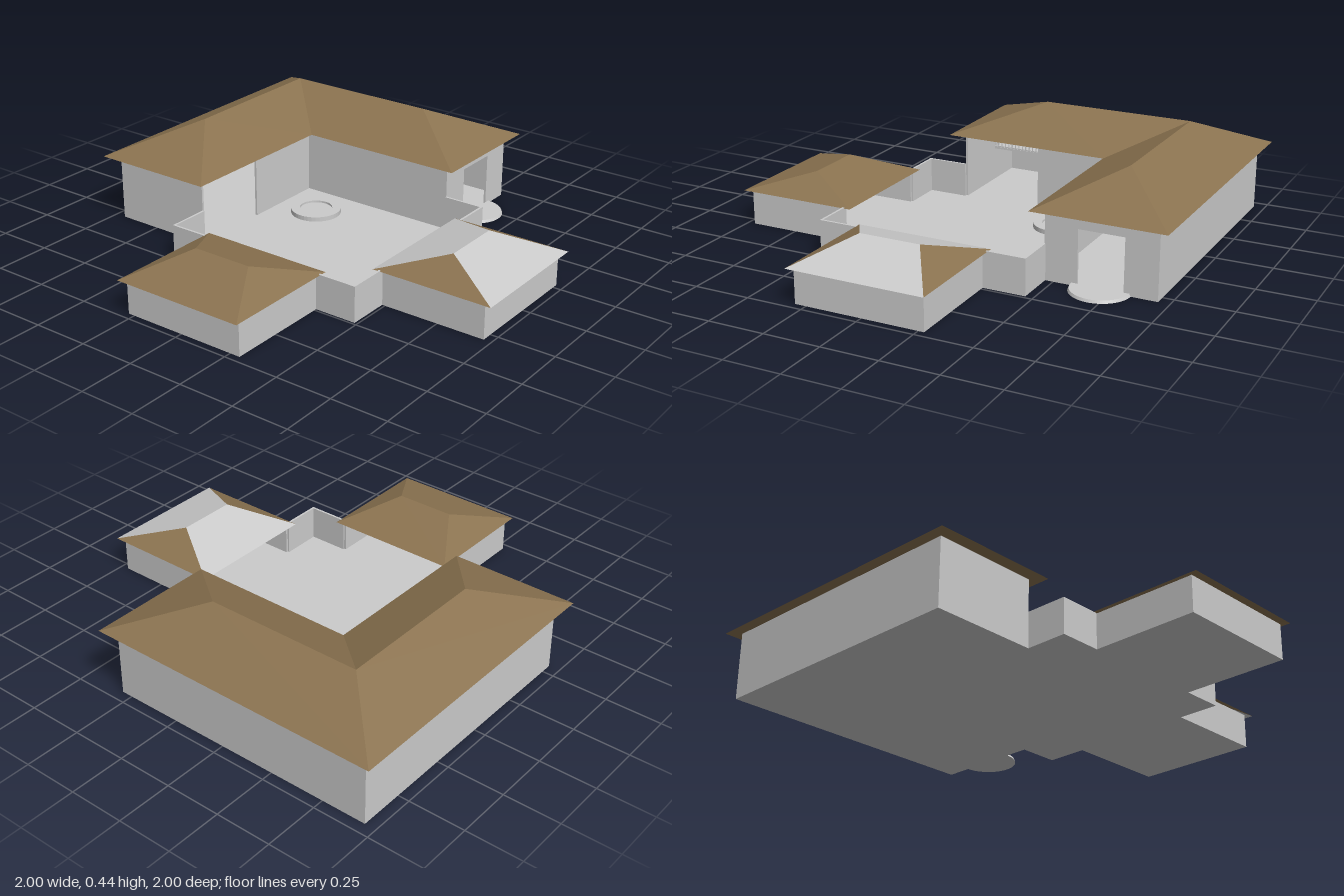
import * as THREE from 'three';

const grey = new THREE.MeshStandardMaterial({ color: 0xcccccc, side: THREE.DoubleSide, flatShading: true });
const brown = new THREE.MeshStandardMaterial({ color: 0x8b7350, side: THREE.DoubleSide, flatShading: true });
const T = 0.01; // wall thickness

function add(parent, name, geometry, material = grey) {
  const mesh = new THREE.Mesh(geometry, material);
  mesh.name = name;
  parent.add(mesh);
  return mesh;
}

// Box given by its limits on each axis
function box(parent, name, x0, x1, y0, y1, z0, z1) {
  const mesh = add(parent, name, new THREE.BoxGeometry(x1 - x0, y1 - y0, z1 - z0));
  mesh.position.set((x0 + x1) / 2, (y0 + y1) / 2, (z0 + z1) / 2);
  return mesh;
}

// Upward-facing planar roof slopes from shared corners
function slopes(parent, name, points, faces, material) {
  const pos = [];
  const p = points.map((q) => new THREE.Vector3(...q));
  for (const f of faces) {
    for (let i = 1; i < f.length - 1; i++) {
      let [a, b, c] = [p[f[0]], p[f[i]], p[f[i + 1]]];
      const n = b.clone().sub(a).cross(c.clone().sub(a));
      if (n.y < 0) [b, c] = [c, b];
      for (const v of [a, b, c]) pos.push(v.x, v.y, v.z);
    }
  }
  const g = new THREE.BufferGeometry();
  g.setAttribute('position', new THREE.Float32BufferAttribute(pos, 3));
  g.computeVertexNormals();
  add(parent, name, g, material);
}

// Wall panel facing z with one doorway cut from the bottom
function doorWall(parent, name, x0, x1, h, d0, d1, dh, z) {
  const s = new THREE.Shape([[x0, 0], [d0, 0], [d0, dh], [d1, dh], [d1, 0], [x1, 0], [x1, h], [x0, h]]
    .map(([x, y]) => new THREE.Vector2(x, y)));
  add(parent, name, new THREE.ExtrudeGeometry(s, { depth: T, bevelEnabled: false })).position.z = z - T;
}

function railing(parent, x0, x1, z) {
  const g = new THREE.Group();
  g.name = 'galleryRailing';
  parent.add(g);
  for (const y of [0.168, 0.205]) box(g, 'rail', x0, x1, y, y + 0.005, z - 0.003, z + 0.003);
  const n = Math.round((x1 - x0) / 0.018);
  for (let i = 0; i <= n; i++) {
    const x = x0 + ((x1 - x0) * i) / n;
    box(g, 'baluster', x - 0.002, x + 0.002, 0.17, 0.207, z - 0.002, z + 0.002);
  }
}

function mainBuilding() {
  const g = new THREE.Group();
  g.name = 'mainBuilding';
  const H = 0.305;
  box(g, 'backFloor', -0.3, 0.95, 0, 0.004, -0.95, -0.47);
  box(g, 'wingFloor', 0.46, 0.95, 0, 0.004, -0.47, 0.3);
  box(g, 'backWall', -0.3, 0.95, 0, H, -0.95, -0.95 + T);
  box(g, 'sideWall', 0.95 - T, 0.95, 0, H, -0.95, 0.3);
  box(g, 'backWingEndWall', -0.3, -0.3 + T, 0, H, -0.95, -0.47);
  doorWall(g, 'backWingCourtWall', -0.3, 0.46, H, -0.295, 0.07, 0.29, -0.47);
  box(g, 'wingCourtWall', 0.46, 0.46 + T, 0, H, -0.47, 0.3);
  doorWall(g, 'entranceWall', 0.46, 0.95, H, 0.605, 0.805, 0.245, 0.3);

  // Upper gallery and stair
  box(g, 'wingGallery', 0.47, 0.94, 0.158, 0.168, -0.94, -0.15);
  railing(g, 0.47, 0.94, -0.155);
  box(g, 'backGallery', -0.29, 0.47, 0.158, 0.168, -0.94, -0.75);
  railing(g, -0.29, 0.47, -0.755);
  for (let i = 0; i < 12; i++) {
    const x = 0.7 + i * 0.018;
    box(g, 'stairStep', x, x + 0.018, 0.004, 0.004 + (i + 1) * 0.0135, -0.14, -0.05);
  }

  // Curved doorstep
  add(g, 'doorstep', new THREE.CylinderGeometry(0.125, 0.13, 0.012, 40, 1, false, -Math.PI / 2, Math.PI))
    .position.set(0.705, 0.006, 0.3);

  // L-shaped hipped roof
  const R = 0.44;
  slopes(g, 'mainRoof', [
    [-0.36, H, -1], [1, H, -1], [1, H, 0.355], [0.41, H, 0.355], [0.41, H, -0.415], [-0.36, H, -0.42],
    [0.005, R, -0.71], [0.705, R, -0.71], [0.705, R, 0.005],
  ], [[0, 1, 7, 6], [1, 2, 8, 7], [2, 3, 8], [3, 4, 7, 8], [4, 5, 6, 7], [5, 0, 6]], brown);
  return g;
}

// Low pavilion along x, open at its back (-z) towards the courtyard
function pavilion(name, longMaterial) {
  const g = new THREE.Group();
  g.name = name;
  const h = 0.157;
  box(g, 'floor', -0.288, 0.288, 0, 0.004, 0, 0.48);
  box(g, 'frontWall', -0.288, 0.288, 0, h, 0.48 - T, 0.48);
  for (const s of [-1, 1]) {
    const x = s * (0.288 - T / 2);
    box(g, 'sideWall', x - T / 2, x + T / 2, 0, h, 0, 0.48);
  }
  const pts = [
    [-0.307, h, -0.035], [0.307, h, -0.035], [0.307, h, 0.515], [-0.307, h, 0.515],
    [-0.136, 0.24, 0.237], [0.136, 0.24, 0.237],
  ];
  slopes(g, 'longRoofSlopes', pts, [[0, 1, 5, 4], [2, 3, 4, 5]], longMaterial);
  slopes(g, 'roofHips', pts, [[1, 2, 5], [3, 0, 4]], brown);
  return g;
}

function courtyard() {
  const g = new THREE.Group();
  g.name = 'courtyard';
  const h = 0.16;
  box(g, 'paving', -0.49, 0.465, 0, 0.004, -0.47, 0.487);
  box(g, 'rearWall', -0.49, -0.3, 0, h, -0.47, -0.47 + T);
  box(g, 'sideWallRear', -0.49, -0.49 + T, 0, h, -0.47, -0.28);
  box(g, 'sideWallFront', -0.49, -0.49 + T, 0, h, 0.296, 0.487);
  box(g, 'frontWallRight', -0.49, -0.3, 0, h, 0.487 - T, 0.487);
  box(g, 'frontWallLeft', 0.276, 0.465, 0, h, 0.487 - T, 0.487);
  box(g, 'wingSideWall', 0.465 - T, 0.465, 0, h, 0.3, 0.487);

  // Round pool with a low rim
  const rim = [[0.075, 0.004], [0.075, 0.025], [0.115, 0.025], [0.115, 0.004]].map((p) => new THREE.Vector2(...p));
  add(g, 'poolRim', new THREE.LatheGeometry(rim, 40)).position.set(0.265, 0, -0.28);
  add(g, 'poolWater', new THREE.CylinderGeometry(0.075, 0.075, 0.012, 40)).position.set(0.265, 0.01, -0.28);
  return g;
}

export function createModel() {
  const model = new THREE.Group();
  model.name = 'courtyardHouse';
  const front = pavilion('frontPavilion', grey);
  front.position.set(-0.012, 0, 0.485);
  const side = pavilion('sidePavilion', brown);
  side.rotation.y = -Math.PI / 2;
  side.position.set(-0.487, 0, 0.008);
  model.add(mainBuilding(), courtyard(), front, side);
  return model;
}
